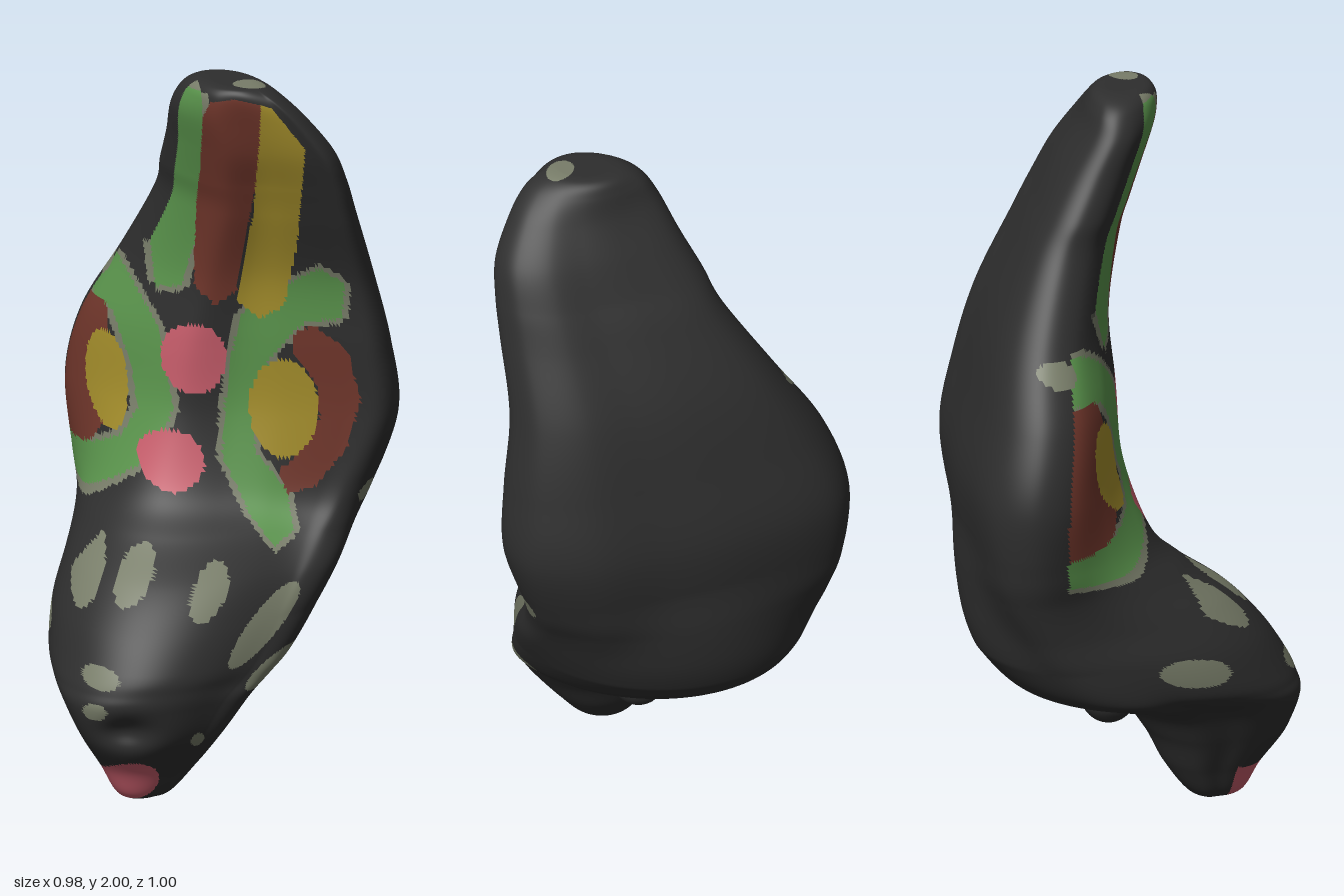
import * as THREE from 'three';

const mat = (name, color) => {
  const m = new THREE.MeshStandardMaterial({ color });
  m.name = name;
  return m;
};
const { clamp, lerp, smoothstep, degToRad } = THREE.MathUtils;

// Horizontal section in a unit box (x, z), from the middle of the hollow face round by the left
const SECTION = [[-.41, .54], [-.04, .61], [.24, .73], [.62, .88], [.84, .97], [.97, .8], [1, .5], [.82, .1], [.45, -.25],
  [.05, -.6], [-.4, -.92], [-.68, -1], [-.92, -.87], [-1, -.55], [-.87, -.13], [-.65, .25]];

// Levels: y, xMin, xMax, zMin, zMax, roundness
const LEVELS = [
  [0, -.25, -.25, .28, .28, 1], [.015, -.32, -.18, .21, .35, 1], [.1, -.37, -.1, .15, .4, 1],
  [.2, -.43, -.03, .1, .475, 1], [.3, -.475, .05, .02, .5, 1], [.35, -.487, .12, -.15, .5, 1],
  [.4, -.485, .185, -.295, .49, 1], [.5, -.465, .265, -.38, .44, .97], [.6, -.425, .33, -.43, .37, .9],
  [.7, -.39, .38, -.465, .27, .7], [.8, -.375, .425, -.485, .215, .42], [1, -.36, .485, -.495, .21, .08],
  [1.2, -.315, .46, -.43, .21, 0], [1.4, -.22, .41, -.33, .215, 0], [1.6, -.15, .35, -.2, .275, 0],
  [1.7, -.145, .32, -.135, .305, 0], [1.8, -.14, .28, -.065, .33, .1], [1.9, -.14, .205, .005, .33, .25],
  [1.96, -.12, .145, .04, .32, .5], [1.99, -.09, .1, .075, .295, .8], [2, -.05, .06, .12, .26, 1],
  [2, .01, .01, .19, .19, 1],
];

// Painted areas as seen from the front (x, y)
const GREEN = [
  [[.03, 1.18], [.05, 1.29], [.19, 1.4], [.25, 1.44], [.32, 1.4], [.315, 1.29], [.22, 1.28], [.135, 1.18], [.08, 1.05],
    [.09, .9], [.17, .8], [.18, .7], [.12, .67], [.06, .75], [0, .89], [.01, 1.02]],
  [[-.35, 1.4], [-.24, 1.39], [-.16, 1.24], [-.125, 1.02], [-.18, .89], [-.31, .785], [-.4, .7], [-.4, .8],
    [-.25, .92], [-.21, 1], [-.22, 1.1], [-.26, 1.24], [-.35, 1.29]],
  [[-.17, 1.85], [-.13, 1.97], [-.08, 1.98], [-.07, 1.75], [-.07, 1.5], [-.1, 1.36], [-.16, 1.34], [-.17, 1.5]],
];
const RED = [
  [[.19, 1.24], [.24, 1.27], [.33, 1.2], [.365, 1.06], [.33, .92], [.25, .81], [.17, .79], [.15, .85], [.2, .9],
    [.26, 1], [.25, 1.1], [.19, 1.18]],
  [[-.27, 1.25], [-.27, 1.1], [-.27, .98], [-.31, .88], [-.36, .81], [-.5, .81], [-.5, 1.25]],
  [[-.08, 1.9], [-.06, 1.96], [0, 1.975], [.07, 1.96], [.07, 1.7], [.04, 1.36], [-.02, 1.32], [-.07, 1.37]],
];
const YELLOW_STRIPE = [[.07, 1.96], [.1, 1.95], [.19, 1.83], [.19, 1.5], [.165, 1.32], [.1, 1.28], [.04, 1.33], [.07, 1.6]];
// Ellipses: centre x, centre y, radius x, radius y, lean in degrees
const YELLOW = [[.165, 1.025, .09, .14, 0], [-.275, 1.05, .045, .13, 0]];
const PINK = [[-.07, 1.16, .085, .1, 0], [-.135, .88, .085, .08, 0], [-.3, .075, .078, .065, 0]];
const SPOTS = [[-.375, .62, .025, .1, 28], [-.27, .625, .035, .085, 40], [-.08, .59, .042, .08, 40],
  [.07, .49, .042, .14, 50], [.09, .37, .03, .09, 62], [-.39, .39, .045, .03, 0], [-.41, .3, .03, .025, 0],
  [-.125, .2, .02, .022, 0]];
// Spots on the sides (z, y)
const LEFT_SPOT = [.13, .785, .03, .03, 0];
const RIGHT_SPOTS = [[.02, .46, .11, .04, 10], [-.29, 1.34, .05, .035, 0]];
// Spot on the tip (x, z)
const TIP_SPOT = [.05, .235, .045, .035, 0];

const inEllipse = (x, y, [cx, cy, rx, ry, lean]) => {
  const a = degToRad(lean), dx = x - cx, dy = y - cy;
  const p = dx * Math.cos(a) - dy * Math.sin(a), q = dx * Math.sin(a) + dy * Math.cos(a);
  return (p / rx) ** 2 + (q / ry) ** 2 < 1;
};

const inPolygon = (x, y, poly) => {
  let inside = false;
  poly.forEach(([ax, ay], i) => {
    const [bx, by] = poly[(i + 1) % poly.length];
    if (ay > y !== by > y && x < ax + (bx - ax) * (y - ay) / (by - ay)) inside = !inside;
  });
  return inside;
};

// Index of the colour at a point; nx, nz are its place inside the section box
function paintAt(x, y, z, nx, nz) {
  if (y > 1.96 && inEllipse(x, z, TIP_SPOT)) return 5;
  if (x > .35 && inEllipse(z, y, LEFT_SPOT)) return 5;
  if (nx < -.8 && RIGHT_SPOTS.some(e => inEllipse(z, y, e))) return 5;
  const sideLimit = y > 1.45 ? -.2 : -.62;
  const limit = y < .7 ? -.1 : nx > -.5 ? .3 : sideLimit;
  if (nz < limit) return 0;
  if (PINK.some(e => inEllipse(x, y, e))) return 4;
  if (z > .09 && SPOTS.some(e => inEllipse(x, y, e))) return 5;
  if (YELLOW.some(e => inEllipse(x, y, e)) || inPolygon(x, y, YELLOW_STRIPE)) return 3;
  if (GREEN.some(p => inPolygon(x, y, p))) return 1;
  if (RED.some(p => inPolygon(x, y, p))) return 2;
  // thin rim round the green
  const r = .016;
  const rim = [[r, 0], [-r, 0], [0, r], [0, -r]];
  return rim.some(([dx, dy]) => GREEN.some(p => inPolygon(x + dx, y + dy, p))) ? 5 : 0;
}

// Blend a section point towards a slanted ellipse that fills the same box
function roundOff(p, y, round) {
  const front = smoothstep(p.z - p.x, -.5, .6);
  const slant = y < 1.2 ? lerp(.08, -.22, front) : .3;
  const k = Math.sqrt((1 - slant ** 2) / (p.x ** 2 - 2 * slant * p.x * p.z + p.z ** 2));
  const back = y < 1.2 ? clamp(1 - (y - .5) / .5, .3, 1) : 1;
  const amount = round * lerp(back, 1, front);
  return [lerp(p.x, p.x * k, amount), lerp(p.z, p.z * k, amount)];
}

function buildBody() {
  const rows = 310, cols = 220;
  const curve = (pts, closed) => new THREE.CatmullRomCurve3(pts, closed, 'catmullrom', .5);
  const section = curve(SECTION.map(([x, z]) => new THREE.Vector3(x, 0, z)), true);
  const ring = Array.from({ length: cols }, (_, j) => section.getPointAt(j / cols));
  const xCurve = curve(LEVELS.map(l => new THREE.Vector3(l[1], l[0], l[2])), false);
  const zCurve = curve(LEVELS.map(l => new THREE.Vector3(l[3], l[5], l[4])), false);
  const pos = [], unit = [];

  for (let i = 0; i <= rows; i++) {
    const bx = xCurve.getPoint(i / rows), bz = zCurve.getPoint(i / rows);
    const y = clamp(bx.y, 0, 2), round = clamp(bz.y, 0, 1);
    for (const p of ring) {
      const [nx, nz] = roundOff(p, y, round);
      const x = (bx.x + bx.z) / 2 + nx * (bx.z - bx.x) / 2;
      let z = (bz.x + bz.z) / 2 + nz * (bz.z - bz.x) / 2;
      // shallow hollow above the nose
      if (nz > 0) z -= .04 * nz * Math.exp(-(((x + .33) / .07) ** 2) - ((y - .24) / .045) ** 2);
      pos.push(x, y, z);
      unit.push([nx, nz]);
    }
  }

  // Sort the faces by colour
  const faces = [[], [], [], [], [], []];
  const addFace = (...f) => {
    const mean = k => (pos[f[0] * 3 + k] + pos[f[1] * 3 + k] + pos[f[2] * 3 + k]) / 3;
    const [nx, nz] = unit[f[0]];
    faces[paintAt(mean(0), mean(1), mean(2), nx, nz)].push(...f);
  };
  for (let i = 0; i < rows; i++) {
    for (let j = 0; j < cols; j++) {
      const a = i * cols + j, b = i * cols + (j + 1) % cols;
      if (i > 0) addFace(a, b, a + cols);
      if (i < rows - 1) addFace(b, b + cols, a + cols);
    }
  }
  const geo = new THREE.BufferGeometry();
  geo.setAttribute('position', new THREE.Float32BufferAttribute(pos, 3));
  geo.setIndex(faces.flat());
  let start = 0;
  faces.forEach((f, k) => {
    geo.addGroup(start, f.length, k);
    start += f.length;
  });
  geo.computeVertexNormals();
  return geo;
}

export function createModel() {
  const group = new THREE.Group();
  group.name = 'curvedFigure';
  const charcoal = mat('charcoal', 0x2e2e2e);
  const body = new THREE.Mesh(buildBody(), [
    charcoal, mat('green', 0x5a944c), mat('rust red', 0x70362b),
    mat('mustard', 0xa38d2b), mat('pink', 0xc75d6b), mat('olive grey', 0x787d69),
  ]);
  body.name = 'paintedBody';
  // Small bump under the throat
  const bump = new THREE.Mesh(new THREE.SphereGeometry(.075, 24, 16), charcoal);
  bump.name = 'throatBump';
  bump.position.set(-.07, .29, .06);
  group.add(body, bump);
  return group;
}
